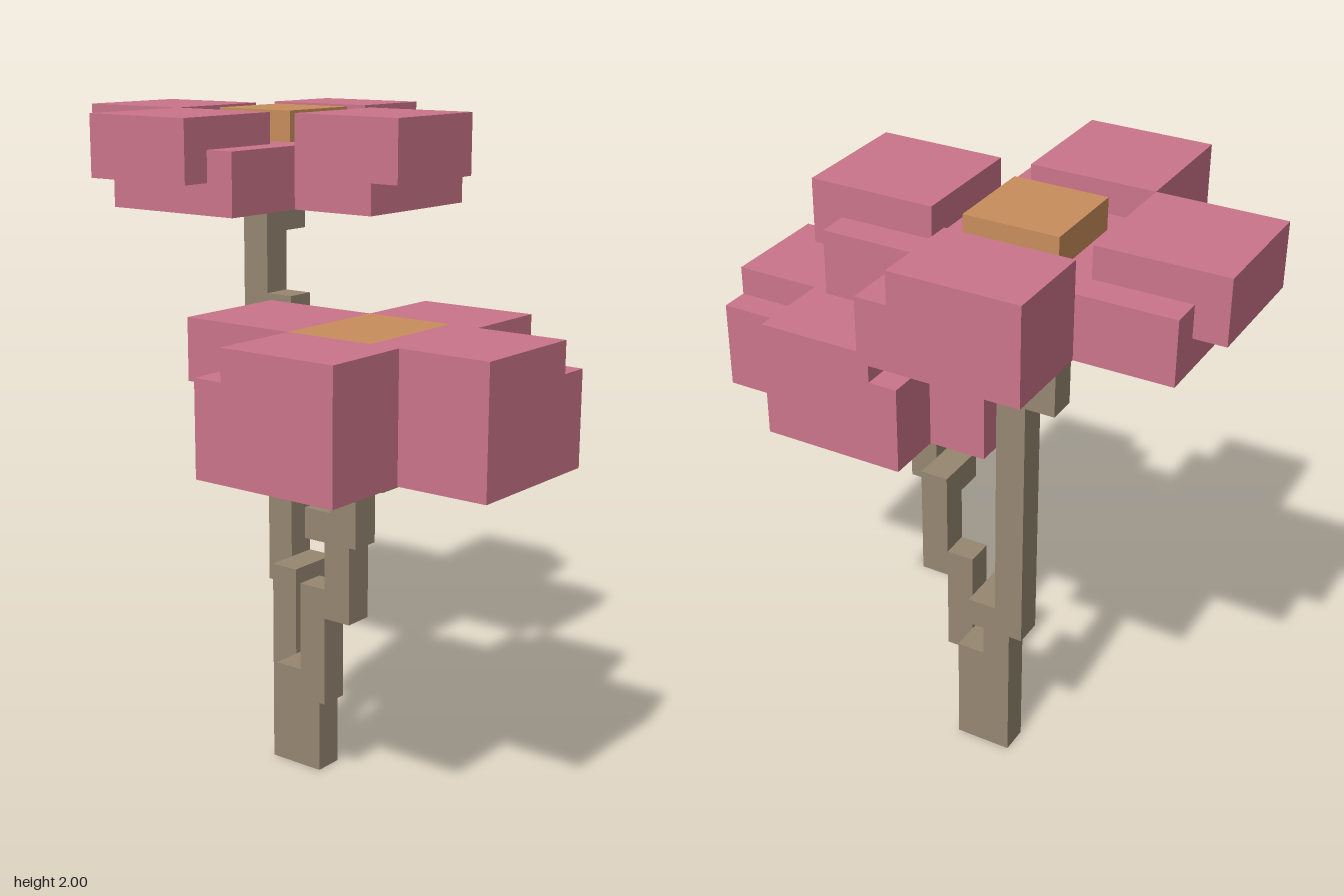
import * as THREE from 'three';

// One block of the grid; x and z edges lie on half blocks, y edges on whole blocks
const U = 1 / 11;

const petalPink = new THREE.MeshStandardMaterial({ color: 0xcb758a });
petalPink.name = 'petal pink';
const stemBrown = new THREE.MeshStandardMaterial({ color: 0x978772 });
stemBrown.name = 'stem brown';
const centreOrange = new THREE.MeshStandardMaterial({ color: 0xc88e5c });
centreOrange.name = 'centre orange';

// Box given by its edges in blocks
function block(parent, name, material, [x0, x1], [y0, y1], [z0, z1]) {
  const geometry = new THREE.BoxGeometry((x1 - x0) * U, (y1 - y0) * U, (z1 - z0) * U);
  const mesh = new THREE.Mesh(geometry, material);
  mesh.position.set((x0 + x1) * U / 2, (y0 + y1) * U / 2, (z0 + z1) * U / 2);
  mesh.name = name;
  parent.add(mesh);
}

// Cross-shaped slab: the inner square runs a..b in x and c..d in z, with arms of fixed length
function crossSlab(parent, name, [a, b], [c, d], arm, [y0, y1]) {
  const points = [
    [a - arm, c], [a, c], [a, c - arm], [b, c - arm], [b, c], [b + arm, c],
    [b + arm, d], [b, d], [b, d + arm], [a, d + arm], [a, d], [a - arm, d],
  ].map(([x, z]) => new THREE.Vector2(x * U, -z * U));
  const geometry = new THREE.ExtrudeGeometry(new THREE.Shape(points), {
    depth: (y1 - y0) * U, bevelEnabled: false,
  });
  geometry.rotateX(-Math.PI / 2);
  const mesh = new THREE.Mesh(geometry, petalPink);
  mesh.position.y = y0 * U;
  mesh.name = name;
  parent.add(mesh);
}

function createStem() {
  const stem = new THREE.Group();
  stem.name = 'stem';
  const add = (name, x, y, z) => block(stem, name, stemBrown, x, y, z);

  // Trunk
  add('trunkTall', [-1.5, -0.5], [0, 7], [-0.5, 0.5]);
  add('trunkShort', [-0.5, 0.5], [0, 4], [-0.5, 0.5]);

  // Branch to the low flower
  add('lowBranch', [-0.5, 0.5], [3, 4], [0.5, 1.5]);
  add('lowBranch', [0.5, 1.5], [3, 7], [0.5, 1.5]);
  add('lowBranch', [1.5, 2.5], [6, 10], [0.5, 1.5]);
  add('lowBranch', [1.5, 2.5], [9, 10], [1.5, 2.5]);
  add('lowBranch', [2.5, 3.5], [9, 12], [1.5, 2.5]);
  add('lowBranch', [3.5, 4.5], [11, 12], [1.5, 2.5]);

  // Branch to the high flower
  add('highBranch', [-1.5, -0.5], [6, 7], [-1.5, -0.5]);
  add('highBranch', [-2.5, -1.5], [6, 16], [-1.5, -0.5]);
  add('highBranch', [-3.5, -2.5], [15, 19], [-1.5, -0.5]);
  add('highBranch', [-3.5, -2.5], [18, 19], [-2.5, -1.5]);
  return stem;
}

function createHighFlower() {
  const flower = new THREE.Group();
  flower.name = 'highFlower';
  crossSlab(flower, 'flowerBase', [-5.5, -0.5], [-4.5, 0.5], 3, [19, 21]);
  block(flower, 'rightPetal', petalPink, [-9.5, -5.5], [20, 22], [-3.5, 0.5]);
  block(flower, 'leftPetal', petalPink, [-0.5, 3.5], [20, 22], [-3.5, 0.5]);
  block(flower, 'frontPetal', petalPink, [-5.5, -1.5], [20, 22], [0.5, 4.5]);
  block(flower, 'backPetal', petalPink, [-5.5, -1.5], [21, 22], [-7.5, -4.5]);
  block(flower, 'flowerCentre', centreOrange, [-4.5, -1.5], [21, 22], [-3.5, -0.5]);
  return flower;
}

function createLowFlower() {
  const flower = new THREE.Group();
  flower.name = 'lowFlower';
  // The base has unequal side arms, so the right petal overhangs it
  const base = new THREE.Group();
  base.name = 'flowerBase';
  block(base, 'baseMiddle', petalPink, [1.5, 6.5], [12, 15], [-2.5, 7.5]);
  block(base, 'baseRight', petalPink, [-0.5, 1.5], [12, 15], [-0.5, 4.5]);
  block(base, 'baseLeft', petalPink, [6.5, 9.5], [12, 15], [-0.5, 4.5]);
  flower.add(base);
  block(flower, 'rightPetal', petalPink, [-1.5, 2.5], [14, 16], [0.5, 4.5]);
  block(flower, 'leftPetal', petalPink, [5.5, 9.5], [15, 16], [0.5, 4.5]);
  block(flower, 'frontPetal', petalPink, [2.5, 6.5], [15, 16], [4.5, 7.5]);
  block(flower, 'backPetal', petalPink, [2.5, 6.5], [15, 16], [-2.5, 0.5]);
  block(flower, 'flowerCentre', centreOrange, [2.5, 5.5], [15, 16], [0.5, 4.5]);
  return flower;
}

export function createModel() {
  const model = new THREE.Group();
  model.name = 'blockFlowers';
  model.add(createStem(), createHighFlower(), createLowFlower());
  return model;
}
